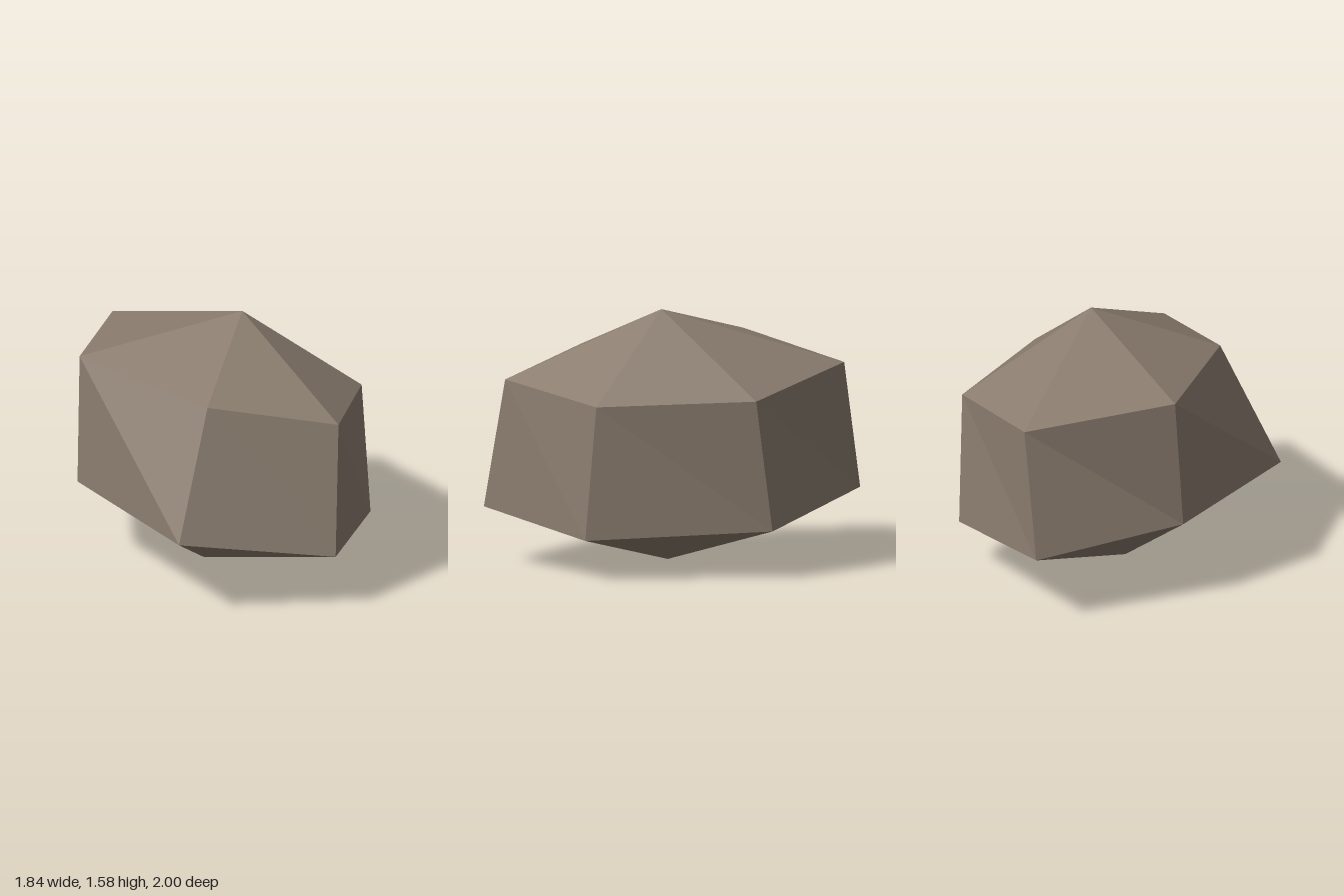
import * as THREE from 'three';

// Faceted boulder: two six-point rings, capped by a peak and a foot
export function createModel() {
  const stone = new THREE.MeshStandardMaterial({ color: 0x8a7c6e });
  stone.name = 'stone';
  stone.flatShading = true;

  const peak = [0.15, 1.58, -0.14];
  const foot = [-0.06, 0, 0.02];
  // Rings run anticlockwise seen from above
  const upper = [
    [-0.81, 1.33, 0.13], [0.06, 1.27, 0.65], [0.845, 1.15, 0.51],
    [0.86, 1.07, -0.3], [0.14, 1.1, -0.955], [-0.755, 1.23, -0.805],
  ];
  const lower = [
    [-0.815, 0.52, 0.18], [-0.06, 0.5, 1], [0.855, 0.35, 0.685],
    [0.92, 0.25, -0.265], [0.045, 0.295, -1], [-0.92, 0.44, -0.775],
  ];

  const positions = [];
  const triangle = (a, b, c) => positions.push(...a, ...b, ...c);
  upper.forEach((top, i) => {
    const j = (i + 1) % upper.length;
    triangle(peak, top, upper[j]); // crown
    triangle(top, lower[i], lower[j]); // side
    triangle(top, lower[j], upper[j]);
    triangle(foot, lower[j], lower[i]); // underside
  });

  const geometry = new THREE.BufferGeometry();
  geometry.setAttribute('position', new THREE.Float32BufferAttribute(positions, 3));
  geometry.computeVertexNormals();

  const rock = new THREE.Mesh(geometry, stone);
  rock.name = 'rock';
  const group = new THREE.Group();
  group.name = 'boulder';
  group.add(rock);
  return group;
}
